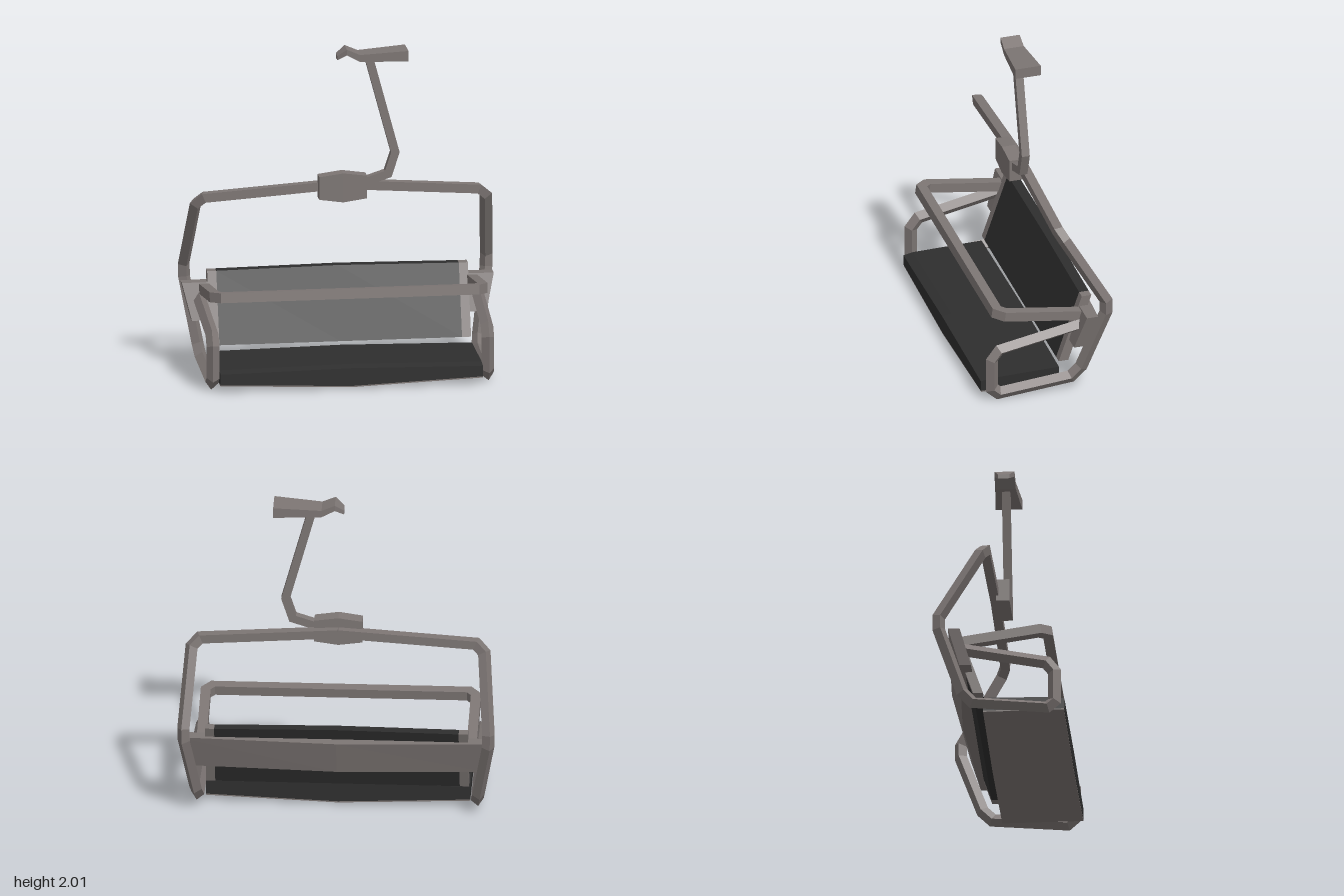
import * as THREE from 'three';

const metal = new THREE.MeshStandardMaterial({ color: 0x7d7674 });
metal.name = 'warm grey metal';
const padding = new THREE.MeshStandardMaterial({ color: 0x2e2e2e });
padding.name = 'charcoal padding';

const V = (x, y, z) => new THREE.Vector3(x, y, z);

// Flat-shaded solid through convex rings, each counter-clockwise about the travel direction
function loft(rings) {
  const out = [];
  const tri = (...pts) => pts.forEach((p) => out.push(p.x, p.y, p.z));
  const n = rings[0].length;
  for (let i = 0; i < rings.length - 1; i++) {
    const a = rings[i], b = rings[i + 1];
    for (let j = 0; j < n; j++) {
      const k = (j + 1) % n;
      tri(a[j], a[k], b[k]);
      tri(a[j], b[k], b[j]);
    }
  }
  const first = rings[0], last = rings[rings.length - 1];
  for (let j = 1; j < n - 1; j++) {
    tri(first[0], first[j + 1], first[j]);
    tri(last[0], last[j], last[j + 1]);
  }
  const geo = new THREE.BufferGeometry();
  geo.setAttribute('position', new THREE.Float32BufferAttribute(out, 3));
  geo.computeVertexNormals();
  return geo;
}

// Square bar along a path, with mitred corners
function bar(points, size, up) {
  const dirs = points.slice(1).map((p, i) => p.clone().sub(points[i]).normalize());
  const u = up.clone().addScaledVector(dirs[0], -up.dot(dirs[0])).normalize();
  const v = dirs[0].clone().cross(u);
  const h = size / 2;
  const rings = [[[1, 1], [-1, 1], [-1, -1], [1, -1]].map(([a, b]) =>
    points[0].clone().addScaledVector(u, a * h).addScaledVector(v, b * h))];
  for (let i = 1; i < points.length; i++) {
    const d = dirs[i - 1];
    const normal = d.clone().add(dirs[i] || d).normalize();
    rings.push(rings[i - 1].map((c) => c.clone().addScaledVector(
      d, points[i].clone().sub(c).dot(normal) / d.dot(normal))));
  }
  return loft(rings);
}

// Solid lofted along x: stations of [x, [[y, z], ...]], ordered top, front, bottom, back
const slab = (stations) =>
  loft(stations.map(([x, pts]) => pts.map(([y, z]) => V(x, y, z))));

// Rectangular section in y and z
const rect = (y0, y1, z0, z1) => [[y1, z0], [y1, z1], [y0, z1], [y0, z0]];

export function createModel() {
  const model = new THREE.Group();
  model.name = 'chairlift chair';
  const add = (name, geo, mat) => {
    const mesh = new THREE.Mesh(geo, mat);
    mesh.name = name;
    model.add(mesh);
  };

  // Cable clamp on top
  const clamp = [
    [-0.035, 1.93, 1.957, 0.035], [0.02, 1.965, 2.0, 0.06],
    [0.1, 1.922, 1.965, 0.062], [0.39, 1.92, 1.985, 0.08],
  ];
  add('cableClamp', slab(clamp.map(([x, y0, y1, w]) =>
    [x, rect(y0, y1, -0.03 - w, -0.03 + w)])), metal);

  // Bent hanger arm and central hub
  add('hangerArm', bar([V(0.1, 1.155, -0.03), V(0.275, 1.212, -0.03),
    V(0.318, 1.345, -0.03), V(0.158, 1.94, -0.03)], 0.05, V(0, 0, 1)), metal);
  add('hub', slab([
    [-0.145, rect(1.07, 1.21, -0.07, 0.012)],
    [0, rect(1.05, 1.23, -0.07, 0.015)],
    [0.145, rect(1.07, 1.21, -0.07, 0.012)],
  ]), metal);

  // Side frames: top rail, rear upright, seat support and armrest in one bent bar
  for (const s of [1, -1]) {
    const path = [
      [0, 1.142, -0.083], [0.83, 1.086, -0.083], [0.88, 1.04, -0.11],
      [0.917, 0.61, -0.358], [0.915, 0.53, -0.358], [0.85, 0.14, -0.222],
      [0.84, 0.075, -0.16], [0.835, 0.032, 0.29], [0.833, 0.07, 0.333],
      [0.833, 0.265, 0.333], [0.833, 0.328, 0.285], [0.84, 0.425, -0.22],
    ].map(([x, y, z]) => V(s * x, y, z));
    add(s > 0 ? 'leftFrame' : 'rightFrame', bar(path, 0.055, V(0, 1, 0)), metal);
  }

  // Restraint bar
  const half = [[0.812, 0.482, -0.23], [0.812, 0.55, 0.24], [0.77, 0.556, 0.287]];
  add('restraintBar', bar([
    ...half.map(([x, y, z]) => V(x, y, z)),
    ...half.slice().reverse().map(([x, y, z]) => V(-x, y, z)),
  ], 0.06, V(0, 1, 0)), metal);

  // Leaning backrest with end caps
  const back = (top) => [[top, -0.305], [top, -0.245], [0.16, -0.1], [0.16, -0.16]];
  add('backrestPad', slab([[-0.735, back(0.585)], [0, back(0.595)], [0.735, back(0.585)]]), padding);
  for (const s of [1, -1]) {
    const xs = s > 0 ? [0.735, 0.79] : [-0.79, -0.735];
    add(s > 0 ? 'leftBackrestCap' : 'rightBackrestCap',
      slab(xs.map((x) => [x, back(0.585)])), metal);
  }

  // Cross panel bowed to the rear, narrower at the bottom, behind the backrest
  const cross = (x, bow) => [
    V(x, 0.52, -0.23), V(x * 0.945, 0.3, -0.165),
    V(x * 0.945, 0.3, -0.235 - bow), V(x, 0.52, -0.3 - bow),
  ];
  add('backPanel', loft([cross(-0.945, 0), cross(0, 0.045), cross(0.945, 0)]), metal);

  // Seat cushion bowed in the middle, on a thin metal pan
  const seat = (top, bottom) => [
    [top, -0.1], [top - 0.008, 0.33], [top - 0.02, 0.39], [bottom, 0.39], [bottom, -0.1],
  ];
  add('seatCushion', slab([
    [-0.795, seat(0.125, 0.04)], [0, seat(0.138, 0.008)], [0.795, seat(0.125, 0.04)],
  ]), padding);
  const pan = (bottom) => rect(bottom - 0.008, bottom, -0.1, 0.388);
  add('seatPan', slab([[-0.795, pan(0.04)], [0, pan(0.008)], [0.795, pan(0.04)]]), metal);

  return model;
}
